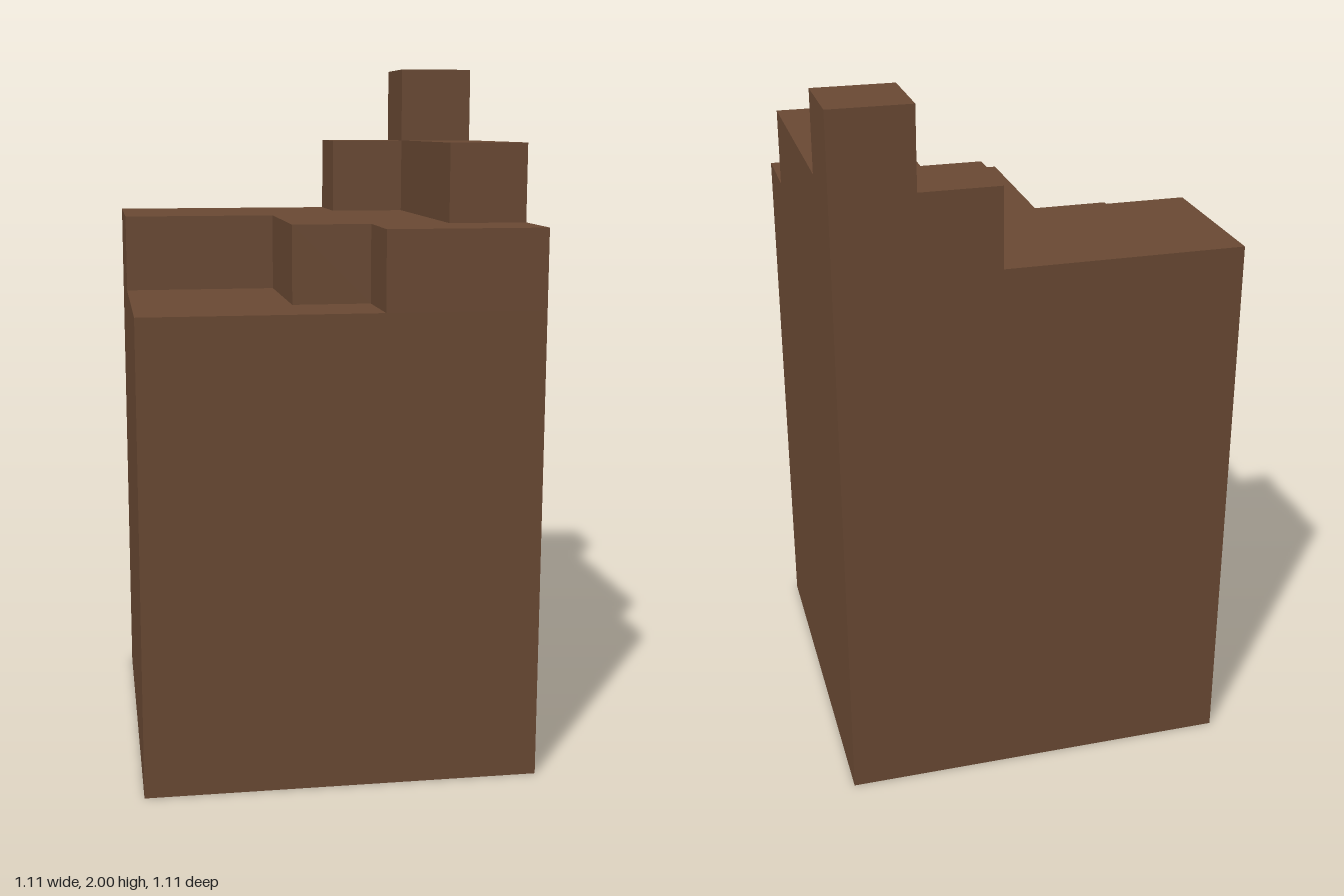
import * as THREE from 'three';

const U = 2 / 9; // one block; the model is 5 x 9 x 5 blocks

export function createModel() {
  const group = new THREE.Group();
  const brown = new THREE.MeshStandardMaterial({ color: 0x6b4a34 });
  brown.name = 'earthBrown';

  // A flat layer: outline in block corners [x, z] counted from the back right, bottom and height in blocks
  function layer(name, outline, bottom, height) {
    const points = outline.map(([x, z]) => new THREE.Vector2((x - 2.5) * U, (2.5 - z) * U));
    const geometry = new THREE.ExtrudeGeometry(new THREE.Shape(points), {
      depth: height * U,
      bevelEnabled: false,
    });
    geometry.rotateX(-Math.PI / 2);
    const mesh = new THREE.Mesh(geometry, brown);
    mesh.name = name;
    mesh.position.y = bottom * U;
    group.add(mesh);
  }

  // Solid base column
  layer('baseBlock', [[0, 0], [5, 0], [5, 5], [0, 5]], 0, 6);
  // Stepped upper ground, cut away at the front right
  layer('upperTerrace', [[0, 0], [5, 0], [5, 5], [3, 5], [3, 4], [2, 4], [2, 2], [0, 2]], 6, 1);
  // L-shaped ridge along the left side and back corner
  layer('cornerRidge', [[3, 0], [5, 0], [5, 4], [4, 4], [4, 1], [3, 1]], 7, 1);
  // Single block at the back left corner
  layer('peakBlock', [[4, 0], [5, 0], [5, 1], [4, 1]], 8, 1);

  return group;
}
